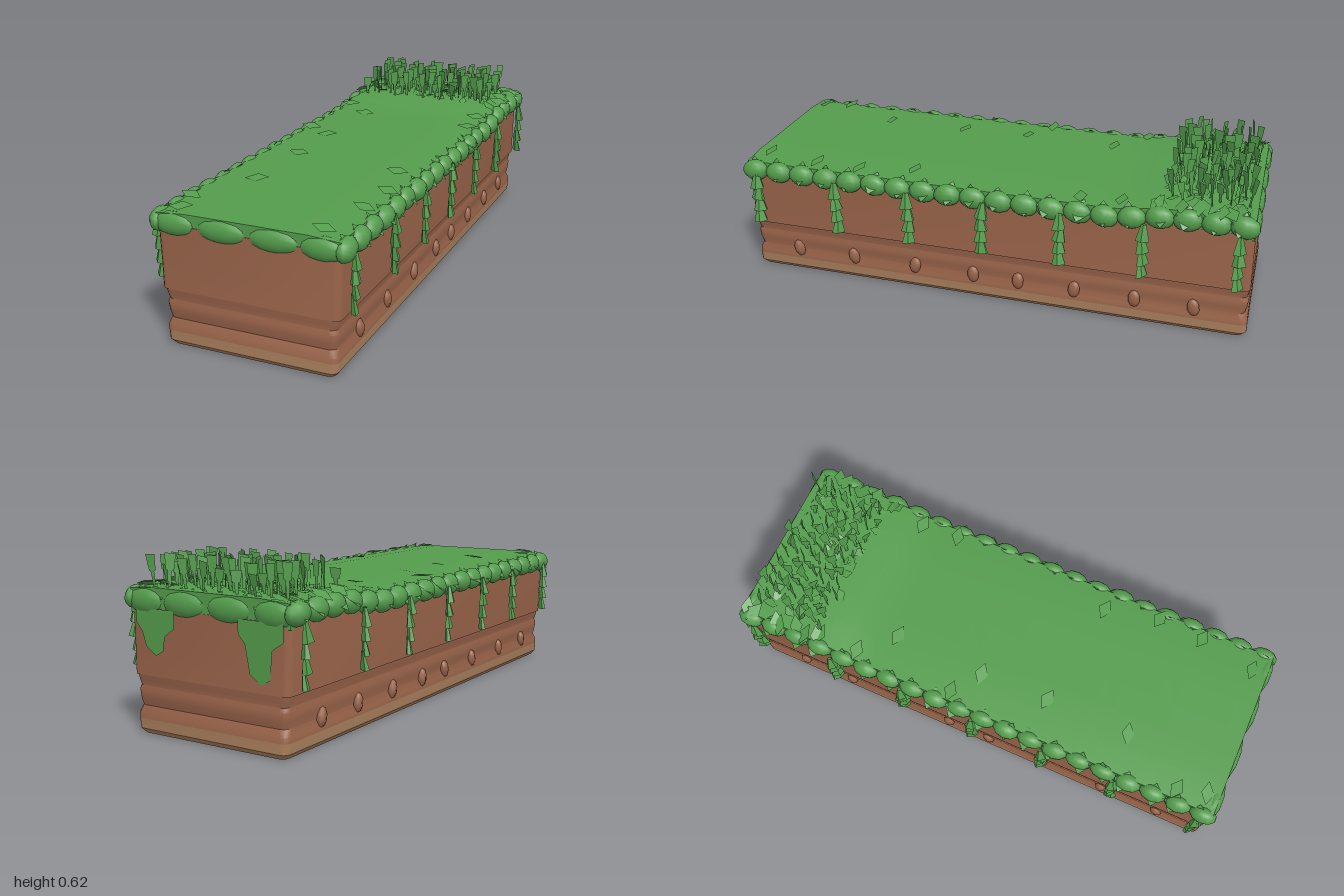
import * as THREE from 'three';
import { toCreasedNormals } from 'three/addons/utils/BufferGeometryUtils.js';

const mat = (name, color) => {
  const m = new THREE.MeshStandardMaterial({ color, side: THREE.DoubleSide });
  m.name = name;
  return m;
};

let seed = 7;
const rand = (a = 0, b = 1) => {
  seed = (seed * 16807) % 2147483647;
  return a + (b - a) * (seed / 2147483647);
};

// Closed loft through rounded rectangles: rings of [y, halfX, halfZ]
function loft(rings, corner = 0.025) {
  const pos = [], idx = [], n = 16;
  for (const [y, hx, hz] of rings) {
    for (let i = 0; i < n; i++) {
      const q = Math.floor(i / 4), a = (q + (i % 4) / 3) * Math.PI / 2;
      const sx = q === 0 || q === 3 ? 1 : -1, sz = q < 2 ? 1 : -1;
      pos.push(sx * (hx - corner) + corner * Math.cos(a), y, sz * (hz - corner) + corner * Math.sin(a));
    }
  }
  for (let r = 0; r < rings.length - 1; r++) {
    for (let i = 0; i < n; i++) {
      const a = r * n + i, b = r * n + (i + 1) % n;
      idx.push(a, a + n, b, b, a + n, b + n);
    }
  }
  const top = (rings.length - 1) * n;
  for (let i = 1; i < n - 1; i++) idx.push(0, i, i + 1, top, top + i + 1, top + i);
  const g = new THREE.BufferGeometry();
  g.setAttribute('position', new THREE.Float32BufferAttribute(pos, 3));
  g.setIndex(idx);
  return toCreasedNormals(g, 0.6);
}

// Flat outline as a faceted sheet
const sheet = (pts) => new THREE.ShapeGeometry(new THREE.Shape(pts.map(([x, y]) => new THREE.Vector2(x, y))));

// Height of the turf, raised at the back end
const turfY = (z) => 0.484 + 0.026 * THREE.MathUtils.smoothstep(-z, 0.45, 0.7);

export function createModel() {
  const root = new THREE.Group();
  root.name = 'grassBlock';
  const green = mat('grass green', 0x549c4d);
  const brown = mat('earth brown', 0x9b654b);
  const tan = mat('base tan', 0xa97f5d);

  const group = (name) => {
    const g = new THREE.Group();
    g.name = name;
    root.add(g);
    return g;
  };
  const add = (parent, name, geo, m, p = [0, 0, 0], r = [0, 0, 0], s = [1, 1, 1]) => {
    const mesh = new THREE.Mesh(geo, m);
    mesh.name = name;
    mesh.position.set(...p);
    mesh.rotation.set(...r);
    mesh.scale.set(...s);
    parent.add(mesh);
    return mesh;
  };

  // Layered earth: tan foot, grooved lower band, taller upper block
  add(root, 'base', loft([[0.002, 0.303, 0.975], [0.02, 0.317, 0.988], [0.056, 0.319, 0.988]]), tan);
  add(root, 'lowerEarth', loft([[0.056, 0.319, 0.988], [0.075, 0.319, 0.986], [0.1, 0.311, 0.976],
    [0.125, 0.315, 0.982], [0.155, 0.318, 0.984], [0.17, 0.314, 0.979], [0.19, 0.319, 0.983], [0.21, 0.322, 0.985]]), brown);
  add(root, 'upperEarth', loft([[0.208, 0.33, 0.986], [0.3, 0.332, 0.984], [0.44, 0.336, 0.982]]), brown);

  // Turf slab following the raised back end
  const turf = new THREE.BoxGeometry(0.67, 0.07, 1.96, 6, 1, 28);
  const tp = turf.attributes.position;
  for (let i = 0; i < tp.count; i++) {
    const edge = Math.abs(tp.getX(i)) > 0.33 ? 0.008 : 0;
    tp.setY(i, tp.getY(i) > 0 ? turfY(tp.getZ(i)) - edge : 0.42);
  }
  add(root, 'turf', toCreasedNormals(turf, 0.6), green);

  // Rounded turf lobes and pointed leaves along the rim
  const lobes = group('turfLobes');
  const leaves = group('rimLeaves');
  const ball = new THREE.SphereGeometry(1, 10, 8);
  const diamond = sheet([[-0.045, 0], [0, -0.026], [0.045, 0], [0, 0.026]]);
  diamond.rotateX(-Math.PI / 2);
  for (const side of [-1, 1]) {
    for (let i = 0; i < 20; i++) {
      const z = -0.945 + i * 0.0995, y = turfY(z);
      add(lobes, 'sideLobe', ball, green, [side * 0.338, y - 0.041, z], [rand(-0.15, 0.15), 0, 0],
        [0.03 + rand(0, 0.008), 0.042, 0.054]);
      add(leaves, 'sideLeaf', diamond, green, [side * 0.348, y - 0.028, z + rand(-0.015, 0.015)],
        [rand(-0.3, 0.3), 0, -side * rand(0.6, 1)], [1.1, 1, 1.5]);
      if (z < -0.6) {
        for (let k = 0; k < 2; k++) {
          add(leaves, 'backTuftLeaf', diamond, green, [side * rand(0.3, 0.34), y + 0.003, z + rand(-0.05, 0.05)],
            [rand(-0.4, 0.4), rand(-0.6, 0.6), -side * rand(0.1, 0.5)]);
        }
      }
    }
  }
  for (const x of [-0.27, -0.09, 0.1, 0.27]) {
    add(lobes, 'frontLobe', ball, green, [x, 0.442, 0.968], [0, 0, 0], [Math.abs(x) > 0.2 ? 0.086 : 0.1, 0.042, 0.03]);
    add(lobes, 'backLobe', ball, green, [x, 0.462, -0.966], [0, 0, 0], [Math.abs(x) > 0.2 ? 0.086 : 0.1, 0.048, 0.032]);
  }
  for (let i = 0; i < 12; i++) {
    add(leaves, 'backLeaf', diamond, green, [-0.31 + i * 0.056, 0.495, -0.965],
      [-rand(0.4, 0.9), Math.PI / 2 + rand(-0.4, 0.4), 0], [0.7, 1, 1]);
  }

  // Grass hanging down the back face
  const drip = (w, tip) => sheet([[-w, 0.44], [-w, 0.38], [-w * 0.5, 0.35], [-w * 0.4, tip + 0.02],
    [0, tip], [w * 0.5, tip + 0.03], [w * 0.7, 0.36], [w, 0.39], [w, 0.44]]);
  add(root, 'backDrip', drip(0.085, 0.28), green, [0.22, 0, -0.988]);
  add(root, 'backDrip', drip(0.09, 0.235), green, [-0.225, 0, -0.988]);

  // Hanging vines: stacked flaring leaf tufts
  const vines = group('vines');
  const tuft = new THREE.CylinderGeometry(0.35, 1, 1, 5, 1, true).toNonIndexed();
  tuft.computeVertexNormals();
  for (const side of [-1, 1]) {
    for (const z of [0.935, 0.6, 0.305, 0.01, -0.29, -0.595, -0.935]) {
      for (let k = 0; k < 4; k++) {
        add(vines, 'vineTuft', tuft, green, [side * (0.363 - k * 0.002), 0.41 - k * 0.05, z + rand(-0.004, 0.004)],
          [rand(-0.1, 0.1), rand(0, 1), side * 0.1], [0.018 - k * 0.0015, 0.065, 0.028]);
      }
    }
  }

  // Pebbles set into the lower band
  const stones = group('pebbles');
  const stone = new THREE.SphereGeometry(1, 7, 5);
  for (const side of [-1, 1]) {
    for (const z of [0.8, 0.56, 0.3, 0.06, -0.12, -0.34, -0.57, -0.79]) {
      add(stones, 'pebble', stone, brown, [side * 0.316, 0.102, z], [rand(-0.3, 0.3), 0, 0], [0.016, 0.036, 0.024]);
    }
  }

  // Loose leaves lying on the turf
  const loose = group('looseLeaves');
  for (const [x, z] of [[-0.18, -0.38], [-0.19, -0.02], [-0.18, 0.25], [-0.18, 0.58], [-0.3, -0.5], [-0.3, -0.1],
    [-0.3, 0.82], [-0.27, 0.93], [0.25, 0.31], [0.29, 0.7], [0.25, 0.92], [0.29, -0.5], [0.3, -0.35], [0.3, 0.52]]) {
    add(loose, 'looseLeaf', diamond, green, [x, turfY(z) + 0.008, z], [rand(0.15, 0.35), rand(-0.3, 0.3), rand(-0.15, 0.15)]);
  }

  // Tall grass at the back: slim stems opening into broad tips
  const grass = group('tallGrass');
  const blade = sheet([[-0.005, 0], [0.005, 0], [0.008, 0.5], [0.014, 0.52], [0.019, 1], [-0.019, 0.97], [-0.014, 0.5], [-0.007, 0.48]]);
  for (let i = 0; i < 100; i++) {
    const x = -0.285 + 0.57 * ((i * 0.618) % 1), z = -0.655 - 0.3 * (i / 100);
    const h = i % 3 ? rand(0.105, 0.12) : rand(0.065, 0.085);
    add(grass, 'blade', blade, green, [x, 0.505, z], [rand(-0.15, 0.15), rand(-1.3, 1.3), rand(-0.08, 0.08)], [rand(0.7, 1.15), h, 1]);
  }
  for (let i = 0; i < 50; i++) {
    add(grass, 'groundLeaf', diamond, green, [rand(-0.29, 0.29), 0.515, rand(-0.95, -0.65)],
      [rand(-0.5, 0.5), rand(0, 3), rand(-0.5, 0.5)], [0.6, 1, 0.7]);
  }
  return root;
}
